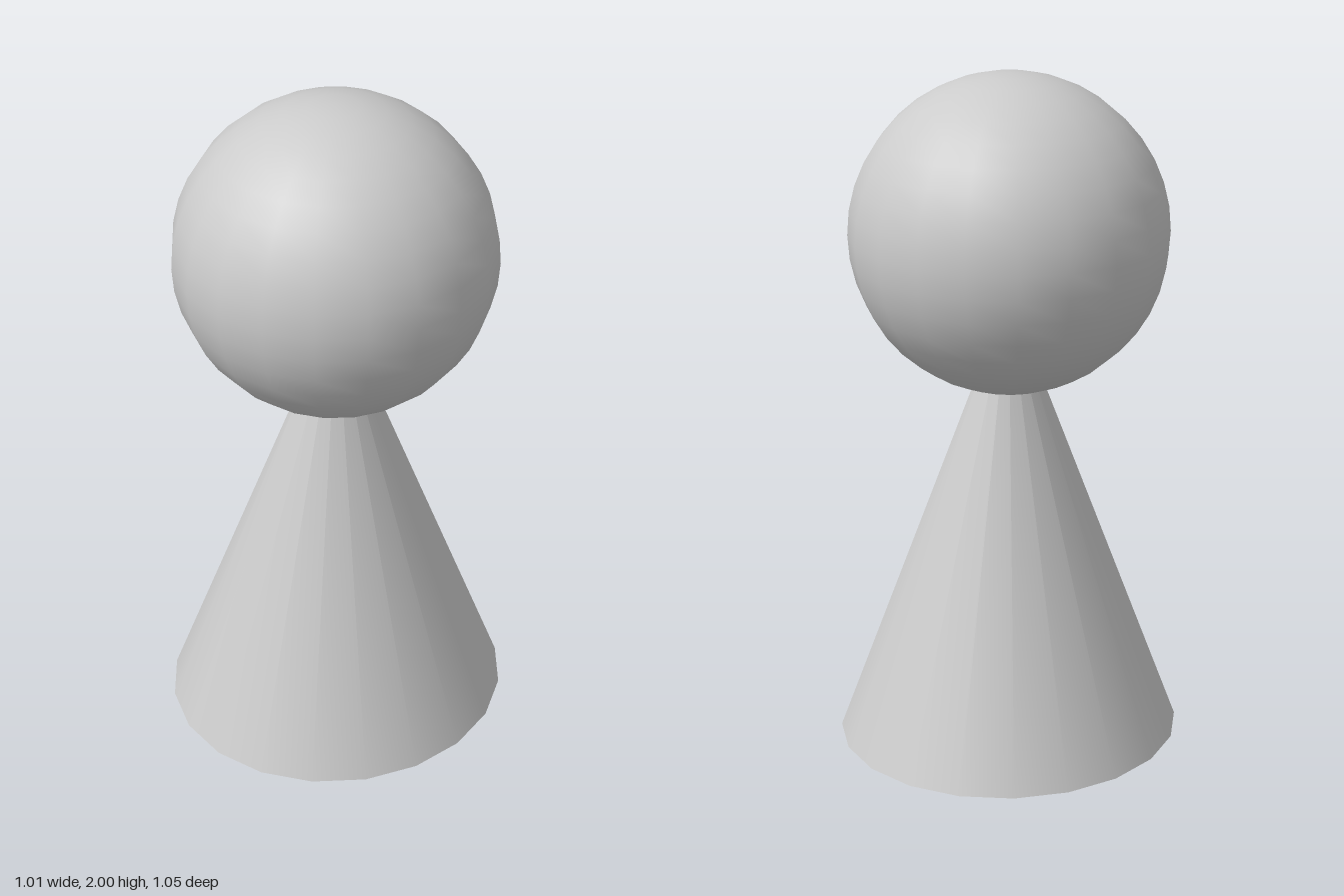
import * as THREE from 'three';

export function createModel() {
  const group = new THREE.Group();
  const material = new THREE.MeshStandardMaterial({ color: 0xcccccc });

  // Conical body, slightly deeper than wide, with its tip hidden in the head
  const height = 1.36;
  const body = new THREE.Mesh(new THREE.ConeGeometry(1, height, 20), material);
  body.name = 'body';
  body.scale.set(0.503, 1, 0.527);
  body.position.y = height / 2;

  // Round head
  const head = new THREE.Mesh(new THREE.SphereGeometry(0.465, 20, 20), material);
  head.name = 'head';
  head.position.set(0.004, 1.535, 0.01);

  group.add(body, head);
  return group;
}
